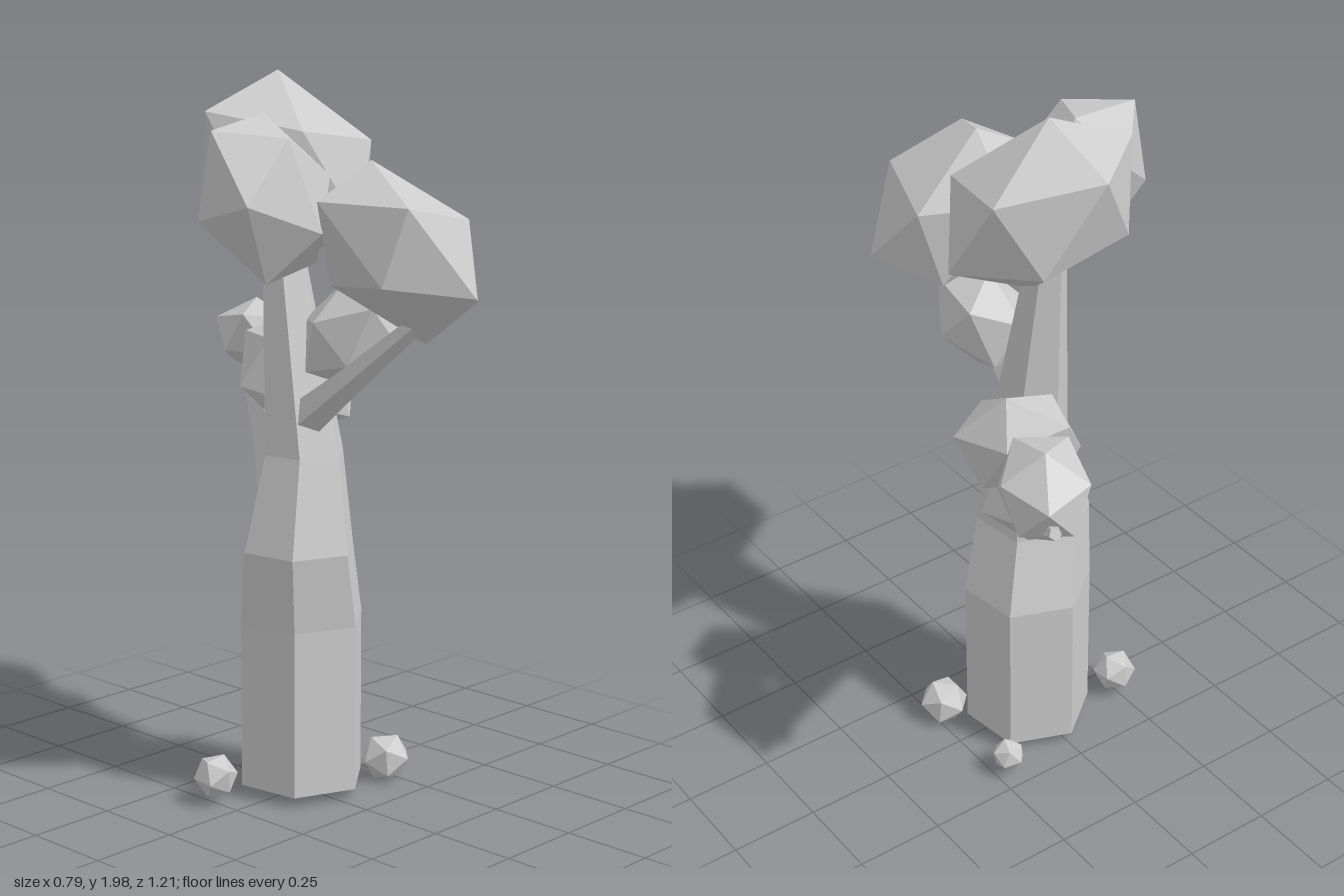
import * as THREE from 'three';
import { ConvexGeometry } from 'three/addons/geometries/ConvexGeometry.js';

const material = new THREE.MeshStandardMaterial({ color: 0xcccccc, flatShading: true });
const V = (p) => new THREE.Vector3(...p);

// Faceted limb through rings [x, y, z, radius], square to the direction dir
function loft(rings, sides, phase, dir, u) {
  const v = u.clone().cross(dir);
  const pos = [];
  const centre = (k) => V(rings[k].slice(0, 3));
  const at = (k, i) => {
    const a = phase + (i / sides) * Math.PI * 2;
    return centre(k)
      .addScaledVector(u, Math.cos(a) * rings[k][3])
      .addScaledVector(v, Math.sin(a) * rings[k][3]);
  };
  const tri = (...pts) => pts.forEach((p) => pos.push(p.x, p.y, p.z));
  const last = rings.length - 1;
  for (let i = 0; i < sides; i++) {
    for (let k = 0; k < last; k++) {
      tri(at(k, i), at(k + 1, i), at(k, i + 1));
      tri(at(k, i + 1), at(k + 1, i), at(k + 1, i + 1));
    }
    tri(centre(0), at(0, i), at(0, i + 1));
    tri(centre(last), at(last, i + 1), at(last, i));
  }
  const g = new THREE.BufferGeometry();
  g.setAttribute('position', new THREE.Float32BufferAttribute(pos, 3));
  g.computeVertexNormals();
  return g;
}

function branch(rings, sides, phase) {
  const dir = V(rings[rings.length - 1].slice(0, 3)).sub(V(rings[0].slice(0, 3))).normalize();
  const u = new THREE.Vector3(0, 1, 0).cross(dir).normalize();
  return loft(rings, sides, phase, dir, u);
}

// Stretched icosahedron from its centre and the offsets of three neighbouring corners
function clump(centre, pa, pb, pc) {
  const a = V(pa), b = V(pb), c = V(pc), k = (Math.sqrt(5) - 1) / 2;
  const across = (p, q, s) => p.clone().add(q).multiplyScalar(k).sub(s);
  const half = [a, b, c, across(a, b, c), across(b, c, a), across(c, a, b)];
  const points = half.flatMap((p) => [V(centre).add(p), V(centre).sub(p)]);
  return new ConvexGeometry(points);
}

export function createModel() {
  const group = new THREE.Group();
  const add = (name, geometry) => {
    const mesh = new THREE.Mesh(geometry, material);
    mesh.name = name;
    group.add(mesh);
    return mesh;
  };

  // Six-sided leaning trunk
  add('trunk', loft([
    [0.014, 0.045, -0.01, 0.181],
    [0.014, 0.51, -0.01, 0.181],
    [-0.025, 0.72, 0.018, 0.161],
    [0.003, 0.98, 0.01, 0.115],
    [0.008, 1.57, -0.08, 0.056],
  ], 6, 0.384, new THREE.Vector3(0, 1, 0), new THREE.Vector3(1, 0, 0)));

  // Branches
  add('backBranch', branch([
    [0.05, 0.84, -0.045, 0.125],
    [0.15, 0.94, -0.22, 0.08],
    [0.36, 1.18, -0.595, 0.016],
  ], 5, 0.3));
  add('frontBranch', branch([
    [-0.025, 1.08, 0.04, 0.055],
    [-0.025, 1.2, 0.2, 0.04],
    [0, 1.44, 0.5, 0.02],
  ], 5, 0.3));

  // Foliage
  add('crownFoliage', clump([0.021, 1.745, -0.072],
    [-0.006, 0.255, -0.028], [-0.041, 0.145, -0.224], [-0.234, 0.155, -0.071]));
  add('frontFoliage', clump([-0.004, 1.555, 0.355],
    [0.008, -0.095, 0.255], [0.035, -0.235, 0.065], [0.21, -0.14, 0.09]));
  add('rightFoliage', clump([-0.215, 1.69, 0.08],
    [-0.18, 0, 0.12], [-0.16, 0.18, -0.03], [-0.18, -0.05, -0.06]));
  add('innerFoliage', clump([0.045, 1.312, 0.148],
    [0.11, -0.04, 0.04], [0.01, -0.147, 0.015], [0.03, -0.03, 0.147]));
  add('backFoliage', clump([0.175, 1.148, -0.185],
    [0.105, 0.06, -0.1], [0.05, 0.165, -0.02], [-0.05, 0.11, -0.155]));
  add('tipFoliage', clump([0.285, 1.205, -0.447],
    [0.08, 0.02, -0.13], [0.01, 0.115, -0.02], [0.11, 0.03, 0.03]));

  // Pebbles around the foot
  [[0.225, 0.08, 0.115, 0.071], [-0.247, 0.095, -0.085, 0.062], [0.21, 0.08, -0.185, 0.048]]
    .forEach(([x, y, z, r], i) => {
      const pebble = add('pebble' + (i + 1), new THREE.IcosahedronGeometry(r, 0));
      pebble.position.set(x, y, z);
      pebble.rotation.set(0.5 + i, 0.4 + i * 1.3, 0.2);
    });

  return group;
}
